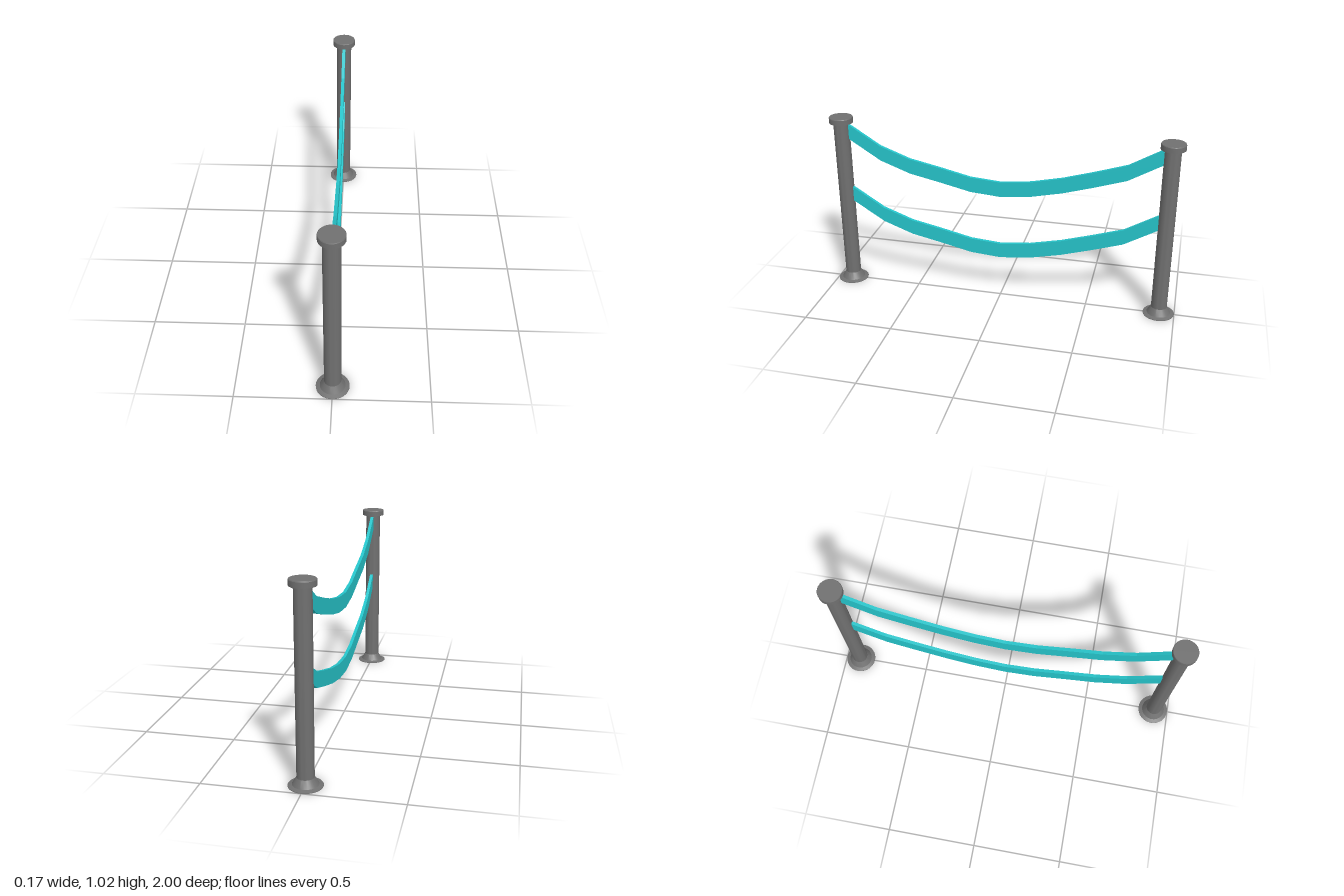
import * as THREE from 'three';
import { toCreasedNormals } from 'three/addons/utils/BufferGeometryUtils.js';

const postMaterial = new THREE.MeshStandardMaterial({ color: 0x707070 });
const beltMaterial = new THREE.MeshStandardMaterial({ color: 0x26c4ca });

const POST_Z = 0.913;
const BELT_WIDTH = 0.018;
const BELT_HEIGHT = 0.086;

// Solid of revolution from [radius, height] pairs, with crisp rims
function turned(name, profile) {
  const points = profile.map(([r, y]) => new THREE.Vector2(r, y));
  const geometry = toCreasedNormals(new THREE.LatheGeometry(points, 32), Math.PI / 7);
  const mesh = new THREE.Mesh(geometry, postMaterial);
  mesh.name = name;
  return mesh;
}

// Post: flared foot, plain shaft, overhanging cap
function createPost(name, z) {
  const post = new THREE.Group();
  post.name = name;
  post.add(
    turned('foot', [[0, 0], [0.087, 0], [0.087, 0.003], [0.066, 0.009], [0.044, 0.046], [0, 0.046]]),
    turned('shaft', [[0, 0.04], [0.044, 0.04], [0.044, 0.99], [0, 0.99]]),
    turned('cap', [[0, 0.985], [0.066, 0.985], [0.066, 1.013], [0.064, 1.017], [0, 1.017]])
  );
  post.position.z = z;
  return post;
}

// Top edge of the sagging belt as [z, y]
const sag = [
  [-0.875, 0.982], [-0.69, 0.875], [-0.52, 0.82], [-0.345, 0.768], [-0.17, 0.729], [0, 0.711],
  [0.17, 0.724], [0.345, 0.764], [0.52, 0.801], [0.69, 0.864], [0.875, 0.98],
];

// Belt: flat band of constant height, extruded across x
function createBelt(name, drop) {
  const bottom = sag.map(([z, y]) => new THREE.Vector2(z, y - BELT_HEIGHT));
  const top = sag.map(([z, y]) => new THREE.Vector2(z, y)).reverse();
  const geometry = new THREE.ExtrudeGeometry(new THREE.Shape([...bottom, ...top]), {
    depth: BELT_WIDTH,
    bevelEnabled: false,
  });
  geometry.translate(0, -drop, -BELT_WIDTH / 2);
  geometry.rotateY(-Math.PI / 2);
  const mesh = new THREE.Mesh(geometry, beltMaterial);
  mesh.name = name;
  return mesh;
}

export function createModel() {
  const model = new THREE.Group();
  model.name = 'beltBarrier';
  model.add(
    createPost('frontPost', POST_Z),
    createPost('backPost', -POST_Z),
    createBelt('upperBelt', 0),
    createBelt('lowerBelt', 0.378)
  );
  return model;
}
